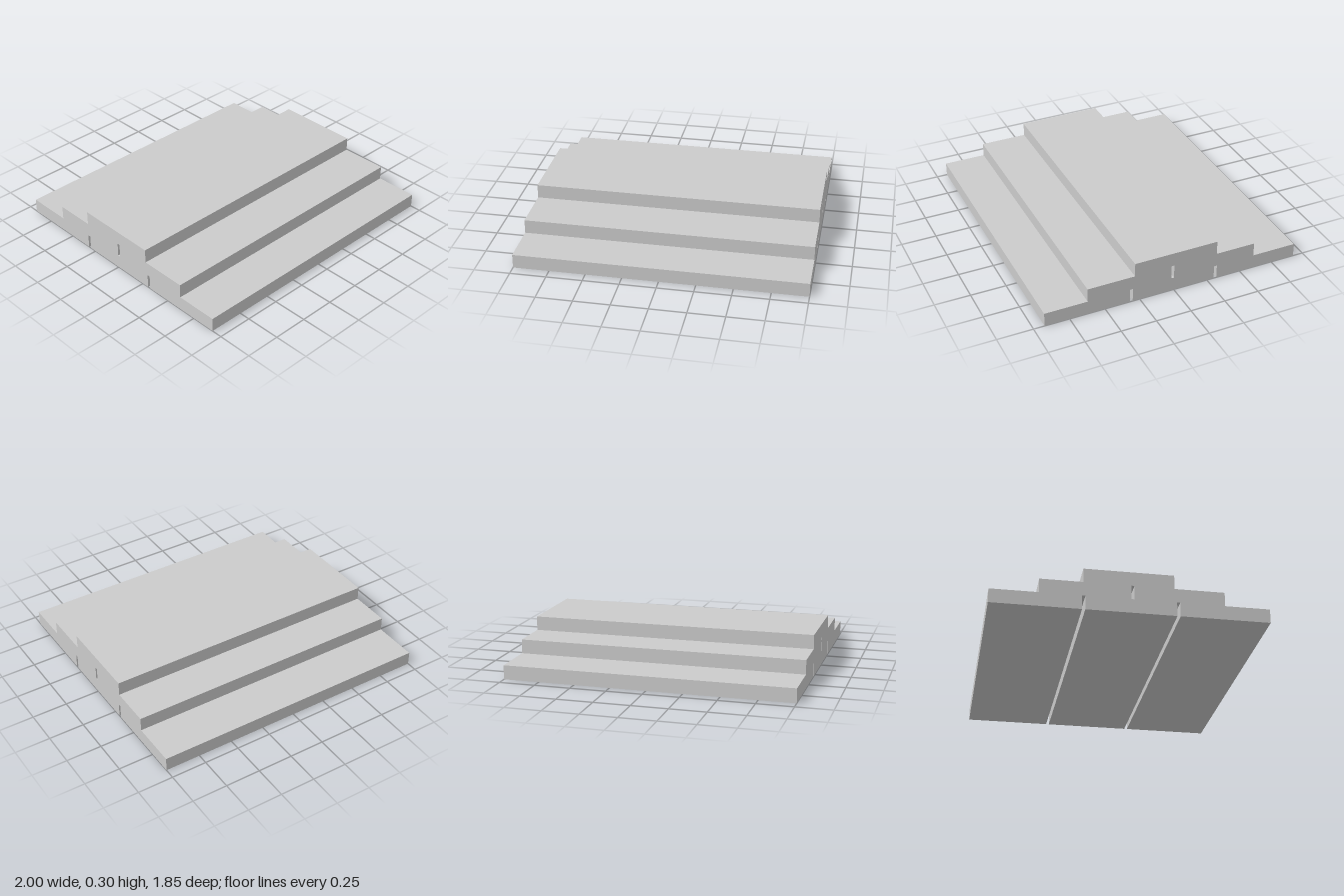
import * as THREE from 'three';

export function createModel() {
  const model = new THREE.Group();
  const material = new THREE.MeshStandardMaterial({ color: 0xcccccc, flatShading: true });

  // All planks share one size, running along x
  const thickness = 0.0985;
  const plank = new THREE.BoxGeometry(2, thickness, 0.602);

  // Plank centres along z for each layer, from the ground up
  const layers = [
    { name: 'bottomPlank', centres: [0.623, 0, -0.623] },
    { name: 'middlePlank', centres: [0.321, -0.301] },
    { name: 'topPlank', centres: [-0.015] },
  ];

  layers.forEach(({ name, centres }, level) => {
    centres.forEach((z, i) => {
      const mesh = new THREE.Mesh(plank, material);
      mesh.name = centres.length > 1 ? `${name}${i + 1}` : name;
      mesh.position.set(0, (level + 0.5) * thickness, z);
      model.add(mesh);
    });
  });

  return model;
}
